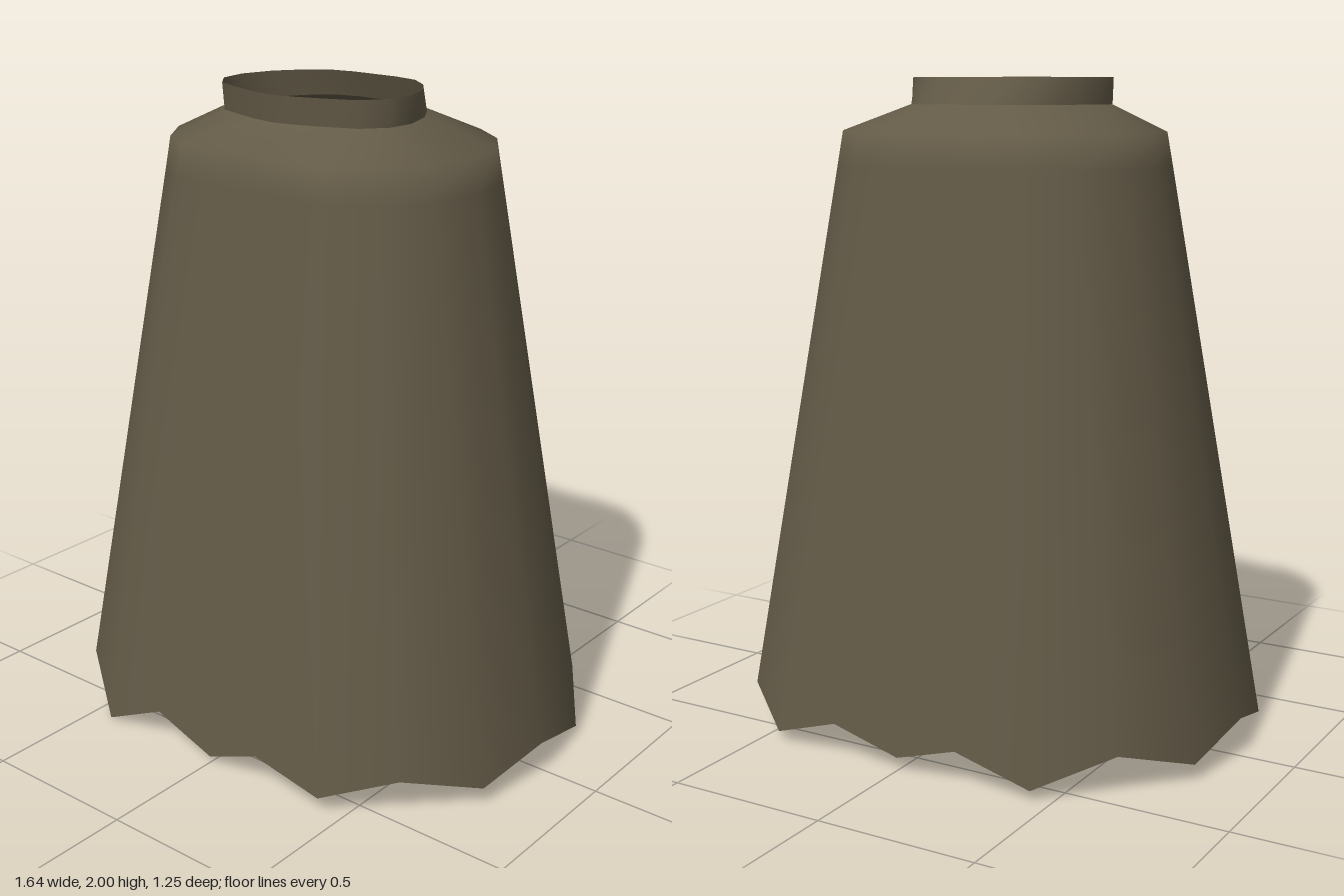
import * as THREE from 'three';

// Half outlines seen from above, [x, z] from back centre round the +x side to front centre
const HEM = [[0, -0.61], [0.21, -0.63], [0.44, -0.6], [0.64, -0.45], [0.785, -0.24], [0.82, 0.02],
  [0.78, 0.27], [0.63, 0.48], [0.43, 0.61], [0.2, 0.62], [0, 0.605]];
const NECK = [[0, -0.195], [0.08, -0.195], [0.16, -0.18], [0.23, -0.125], [0.285, -0.05], [0.318, 0.05],
  [0.308, 0.14], [0.25, 0.21], [0.16, 0.245], [0.08, 0.272], [0, 0.285]];
// Ragged hem heights, all the way round in the same order
const HEM_Y = [0.04, 0.11, 0.03, 0.105, 0.03, 0.105, 0.055, 0.12, 0.05, 0.105,
  0.02, 0.11, 0, 0.12, 0.04, 0.11, 0.05, 0.12, 0.03, 0.11];

// Mirror a half outline into a closed ring; y may be a number or a list
function ring(half, y, sx = 1, sz = sx, backScale = sz) {
  const full = [...half, ...half.slice(1, -1).reverse().map(([x, z]) => [-x, z])];
  return full.map(([x, z], i) => [x * sx, Array.isArray(y) ? y[i] : y, z * (z < 0 ? backScale : sz)]);
}

// Skin a stack of rings, lowest first
function loft(rings) {
  const n = rings[0].length;
  const index = [];
  for (let r = 0; r < rings.length - 1; r++) {
    for (let i = 0; i < n; i++) {
      const j = (i + 1) % n;
      const a = r * n + i, b = r * n + j, c = a + n, d = b + n;
      index.push(a, c, b, b, c, d);
    }
  }
  const geometry = new THREE.BufferGeometry();
  geometry.setAttribute('position', new THREE.Float32BufferAttribute(rings.flat(2), 3));
  geometry.setIndex(index);
  geometry.computeVertexNormals();
  return geometry;
}

export function createModel() {
  const group = new THREE.Group();
  group.name = 'cloak';
  const cloth = new THREE.MeshStandardMaterial({ color: 0x635a47, side: THREE.DoubleSide });
  cloth.name = 'brown cloth';

  const add = (name, rings) => {
    const mesh = new THREE.Mesh(loft(rings), cloth);
    mesh.name = name;
    group.add(mesh);
  };

  const neckBase = ring(NECK, 1.92, 1, 0.97, 1.17);

  // Flared body with ragged hem, closing in over the shoulders
  add('body', [
    ring(HEM, HEM_Y),
    ring(HEM, 1.74, 0.632, 0.642),
    ring(HEM, 1.84, 0.61, 0.62),
    neckBase,
  ]);

  // Short upright collar, leaning slightly forward
  add('collar', [neckBase, ring(NECK, 2, 1, 1.01, 1)]);

  return group;
}
